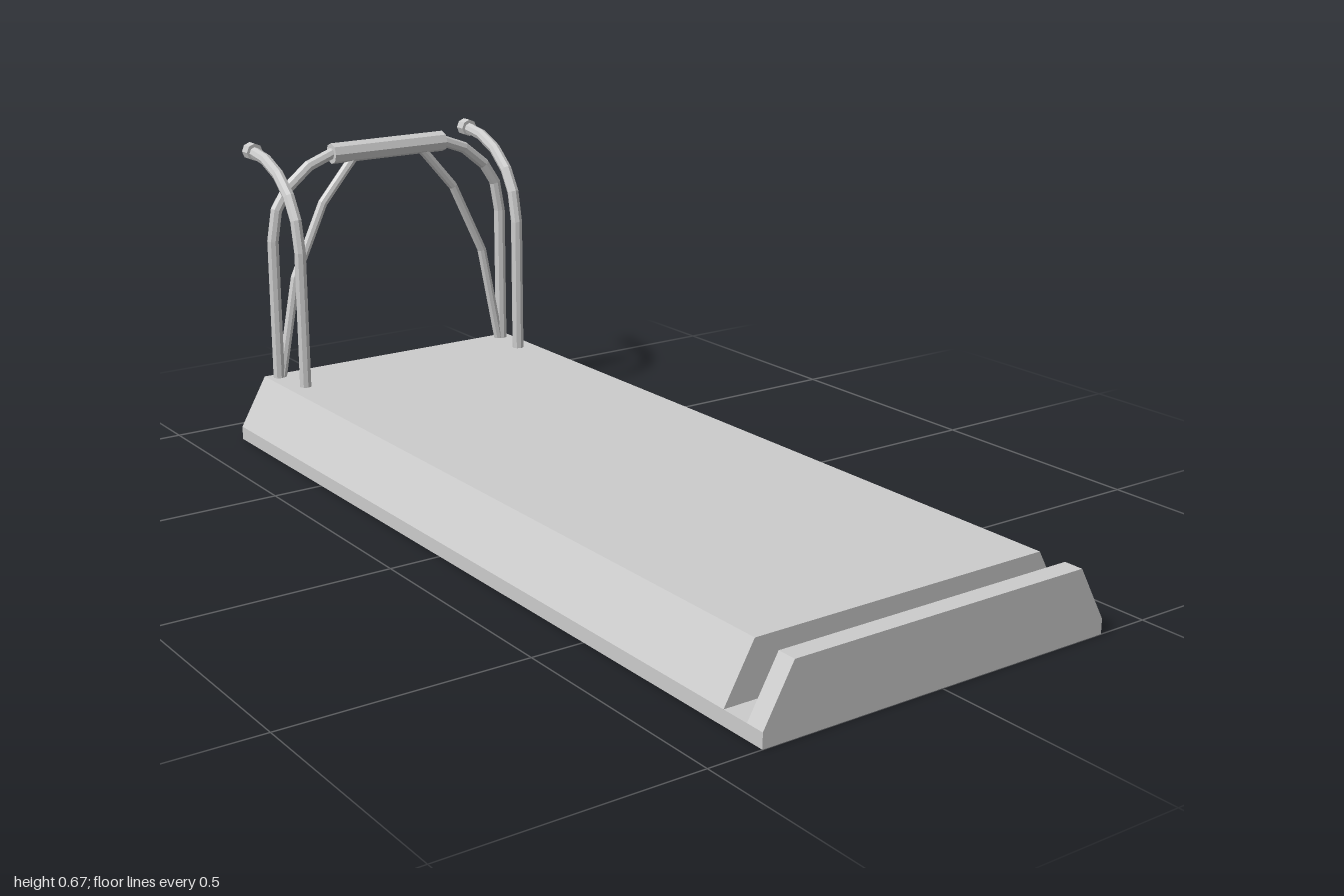
import * as THREE from 'three';

const metal = new THREE.MeshStandardMaterial({ color: 0xcccccc, flatShading: true, side: THREE.DoubleSide });

function add(parent, name, geometry) {
  const mesh = new THREE.Mesh(geometry, metal);
  mesh.name = name;
  parent.add(mesh);
  return mesh;
}

// Bent pipe path with one ring per listed point
class BentPath extends THREE.Curve {
  constructor(points) {
    super();
    this.points = points.map(p => new THREE.Vector3(...p));
  }
  getPoint(t, target = new THREE.Vector3()) {
    const last = this.points.length - 1;
    const i = Math.min(Math.floor(t * last + 1e-6), last - 1);
    return target.lerpVectors(this.points[i], this.points[i + 1], t * last - i);
  }
  getPointAt(t, target) {
    return this.getPoint(t, target);
  }
  getTangentAt(t, target = new THREE.Vector3()) {
    const last = this.points.length - 1;
    const i = Math.round(t * last);
    const dir = k => this.points[k + 1].clone().sub(this.points[k]).normalize();
    return target.copy(dir(Math.max(i - 1, 0))).add(dir(Math.min(i, last - 1))).normalize();
  }
}

const pipe = (points, radius) =>
  new THREE.TubeGeometry(new BentPath(points), points.length - 1, radius, 8, false);

// Bevelled deck lofted along z, dipping to a cross slot near the front
function deckGeometry() {
  const section = (z, top) => [
    [-0.39, 0, z], [0.39, 0, z], [0.39, 0.03, z],
    [0.328, top, z], [-0.328, top, z], [-0.39, 0.03, z],
  ];
  const rings = [[-0.89, 0.14], [0.9, 0.14], [0.9, 0.03], [0.96, 0.03], [0.96, 0.14], [1, 0.14]]
    .map(([z, top]) => section(z, top));
  const pos = [];
  const tri = (a, b, c) => pos.push(...a, ...b, ...c);
  for (let k = 0; k < rings.length - 1; k++) {
    for (let j = 0; j < 6; j++) {
      if (j === 0 && k > 0) continue; // front end is open underneath
      const n = (j + 1) % 6;
      tri(rings[k][j], rings[k][n], rings[k + 1][n]);
      tri(rings[k][j], rings[k + 1][n], rings[k + 1][j]);
    }
  }
  const back = rings[0], front = rings[rings.length - 1];
  for (let j = 1; j < 5; j++) {
    tri(back[0], back[j + 1], back[j]);
    tri(front[0], front[j], front[j + 1]);
  }
  const geometry = new THREE.BufferGeometry();
  geometry.setAttribute('position', new THREE.Float32BufferAttribute(pos, 3));
  geometry.computeVertexNormals();
  return geometry;
}

export function createModel() {
  const model = new THREE.Group();
  model.name = 'platformWithRails';
  add(model, 'deck', deckGeometry());

  const archZ = -0.868;

  // Rear arch, one continuous pipe from side to side
  const half = [[0.302, 0.13], [0.302, 0.46], [0.29, 0.53], [0.26, 0.577], [0.205, 0.622], [0.147, 0.644]];
  const archPoints = [
    ...half.map(([x, y]) => [-x, y, archZ]),
    ...half.slice().reverse().map(([x, y]) => [x, y, archZ]),
  ];
  add(model, 'rearArch', pipe(archPoints, 0.0135));

  // Padded grip at the top of the arch
  const grip = add(model, 'archGrip', new THREE.CylinderGeometry(0.024, 0.024, 0.293, 8));
  grip.rotation.z = Math.PI / 2;
  grip.position.set(0, 0.644, archZ);

  for (const [side, s] of [['left', 1], ['right', -1]]) {
    // Slanted brace inside the arch
    const brace = [[0.296, 0.13], [0.25, 0.368], [0.173, 0.533], [0.097, 0.622], [0.08, 0.64]];
    add(model, side + 'Brace', pipe(brace.map(([x, y]) => [s * x, y, archZ]), 0.011));

    // Upright handrail curving back to a knob
    const rail = [
      [0.13, -0.766], [0.45, -0.766], [0.52, -0.78], [0.57, -0.81],
      [0.612, -0.86], [0.637, -0.92], [0.645, -0.98],
    ];
    add(model, side + 'Handrail', pipe(rail.map(([y, z]) => [s * 0.286, y, z]), 0.0135));
    const knob = add(model, side + 'HandrailKnob', new THREE.CylinderGeometry(0.02, 0.02, 0.026, 8));
    knob.rotation.x = Math.PI / 2;
    knob.position.set(s * 0.286, 0.646, -0.987);
  }
  return model;
}
